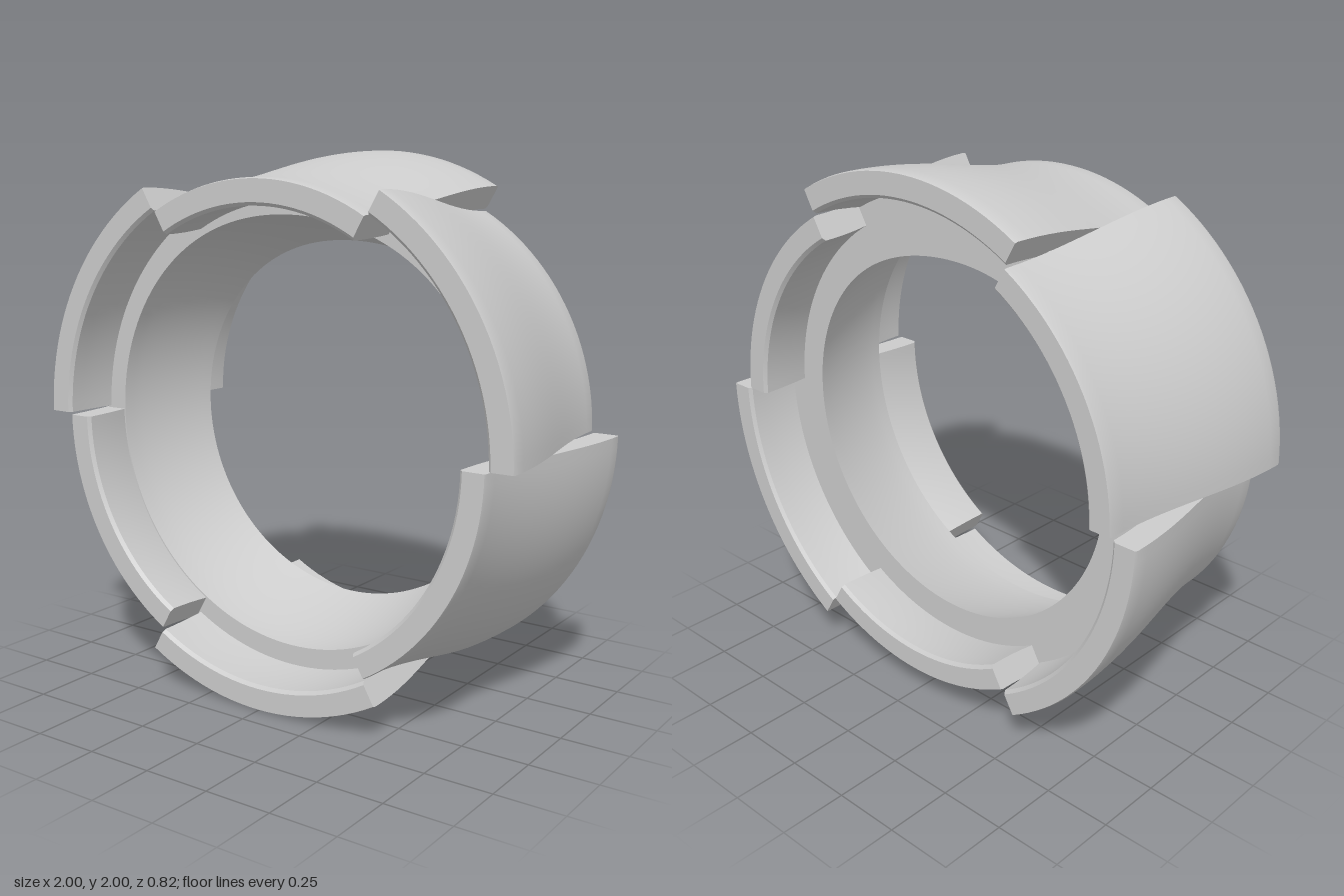
import * as THREE from 'three';
import { toCreasedNormals } from 'three/addons/utils/BufferGeometryUtils.js';

const DEG = Math.PI / 180;
const HALF = 0.41; // half depth of the ring
const material = new THREE.MeshStandardMaterial({ color: 0xcccccc });

// Sweeps a loop of [z, radius, dipWeight] around the z axis.
// The loop lists n outer points (back to front), then n inner ones (front to back).
function sweep(loop, a0, a1, steps, capped, dip = () => 0) {
  const n = loop.length, pos = [], index = [];
  for (let j = 0; j <= steps; j++) {
    const a = a0 + (a1 - a0) * j / steps;
    for (const [z, r, w = 0] of loop) {
      const rad = r - w * dip(a);
      pos.push(rad * Math.cos(a), 1 + rad * Math.sin(a), z);
    }
  }
  for (let j = 0; j < steps; j++) {
    for (let i = 0; i < n; i++) {
      const k = (i + 1) % n, p = j * n, q = p + n;
      index.push(p + i, q + i, q + k, p + i, q + k, p + k);
    }
  }
  if (capped) {
    const e = steps * n;
    for (let k = 0; k < n / 2 - 1; k++) {
      const o0 = k, o1 = k + 1, i0 = n - 1 - k, i1 = n - 2 - k;
      index.push(o0, o1, i1, o0, i1, i0);
      index.push(e + o0, e + i1, e + o1, e + o0, e + i0, e + i1);
    }
  }
  const g = new THREE.BufferGeometry();
  g.setAttribute('position', new THREE.Float32BufferAttribute(pos, 3));
  g.setIndex(index);
  return toCreasedNormals(g, 28 * DEG);
}

// S-curved wall section; dir = 1 flares to the front, -1 to the back
function wallLoop(dir) {
  const outer = [], inner = [], N = 16, bevel = 0.012, thick = 0.095;
  const radius = z => 0.95 + dir * 0.05 * Math.sin(z / HALF * Math.PI / 2);
  const add = (z, inset) => {
    outer.push([z, radius(z) - inset * 0.3]);
    inner.unshift([z, radius(z) - thick + inset]);
  };
  add(-HALF, bevel);
  for (let i = 0; i <= N; i++) add((HALF - bevel) * (2 * i / N - 1), 0);
  add(HALF, bevel);
  return outer.concat(inner);
}

export function createModel() {
  const group = new THREE.Group();
  const add = (geometry, name) => {
    const mesh = new THREE.Mesh(geometry, material);
    mesh.name = name;
    group.add(mesh);
  };

  // Six wall plates, flaring alternately to the front and to the back
  for (let s = 0; s < 6; s++) {
    const dir = s % 2 ? -1 : 1;
    const gap = 0.25 * DEG;
    add(sweep(wallLoop(dir), s * 60 * DEG + gap, (s + 1) * 60 * DEG - gap, 24, true),
      dir > 0 ? 'frontFlaredPlate' : 'backFlaredPlate');
  }

  // Inner liner: flat faces front and back, curved funnel bore, slightly dented at the top
  const liner = [[-0.2, 0.905], [0.2, 0.905]];
  for (let i = 0; i <= 10; i++) {
    const t = i / 10;
    liner.push([0.2 - 0.4 * t, 0.815 - 0.105 * Math.pow(t, 1.4), 1]);
  }
  const dip = a => 0.045 * Math.exp(-(((a / DEG - 85) / 38) ** 2));
  add(sweep(liner, -Math.PI / 2, Math.PI * 1.5, 144, false, dip), 'innerLiner');
  return group;
}
